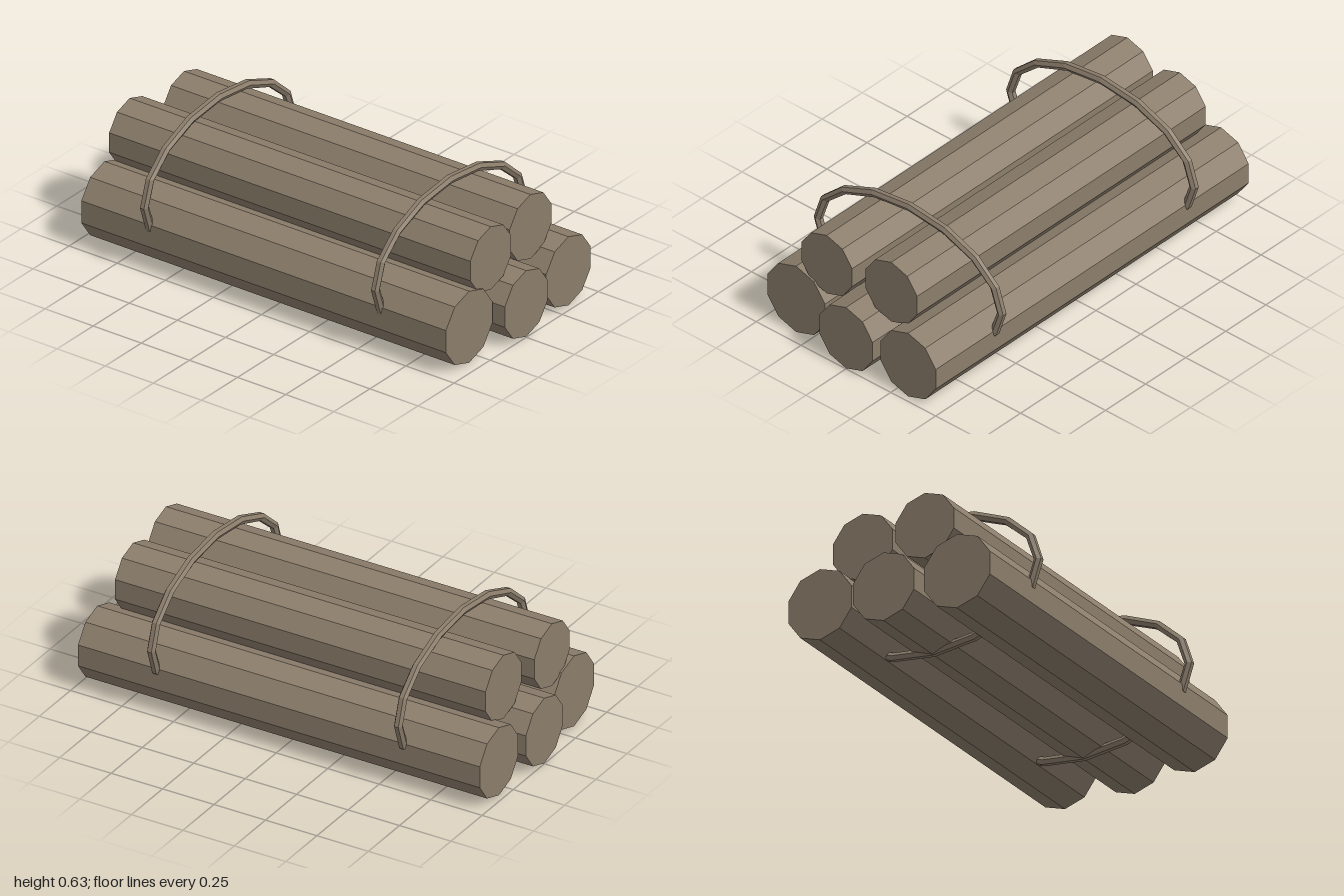
import * as THREE from 'three';

const wood = new THREE.MeshStandardMaterial({ name: 'driftwood brown', color: 0x8b7d6b, flatShading: true });

// Ten-sided log lying along x, with a corner pointing straight up
function makeLog(name, halfLength, radius, y, z) {
  const geo = new THREE.CylinderGeometry(radius, radius, halfLength * 2, 10, 1, false, Math.PI / 2);
  geo.rotateZ(Math.PI / 2);
  const log = new THREE.Mesh(geo, wood);
  log.name = name;
  log.position.set(0, y, z);
  return log;
}

// Oval binding hoop in the y-z plane: a torus with its six-sided tube
// turned by 30 degrees and its ring squashed in height, not in thickness
function makeHoop(name, x) {
  const halfWidth = 0.511, halfHeight = 0.3, tube = 0.02;
  const geo = new THREE.TorusGeometry(halfWidth, tube, 6, 16);
  const pos = geo.attributes.position;
  const c = Math.cos(Math.PI / 6), s = Math.sin(Math.PI / 6);
  for (let i = 0; i < pos.count; i++) {
    const px = pos.getX(i), py = pos.getY(i), pz = pos.getZ(i);
    const angle = Math.atan2(py, px);
    const out = Math.hypot(px, py) - halfWidth;
    const r = out * c - pz * s;
    pos.setXYZ(i,
      (halfWidth + r) * Math.cos(angle),
      (halfHeight + r) * Math.sin(angle),
      out * s + pz * c);
  }
  geo.rotateY(Math.PI / 2);
  geo.computeVertexNormals();
  const hoop = new THREE.Mesh(geo, wood);
  hoop.name = name;
  hoop.position.set(x, 0.317, 0);
  return hoop;
}

export function createModel() {
  const model = new THREE.Group();
  model.name = 'logBundle';

  // Three logs below, two resting on top
  model.add(
    makeLog('bottomFrontLog', 0.947, 0.169, 0.172, 0.325),
    makeLog('bottomMiddleLog', 1, 0.156, 0.159, 0),
    makeLog('bottomBackLog', 0.976, 0.162, 0.165, -0.325),
    makeLog('topFrontLog', 0.938, 0.149, 0.424, 0.163),
    makeLog('topBackLog', 0.9, 0.152, 0.42, -0.163)
  );

  // Binding hoops
  model.add(makeHoop('leftHoop', 0.6), makeHoop('rightHoop', -0.6));
  return model;
}
